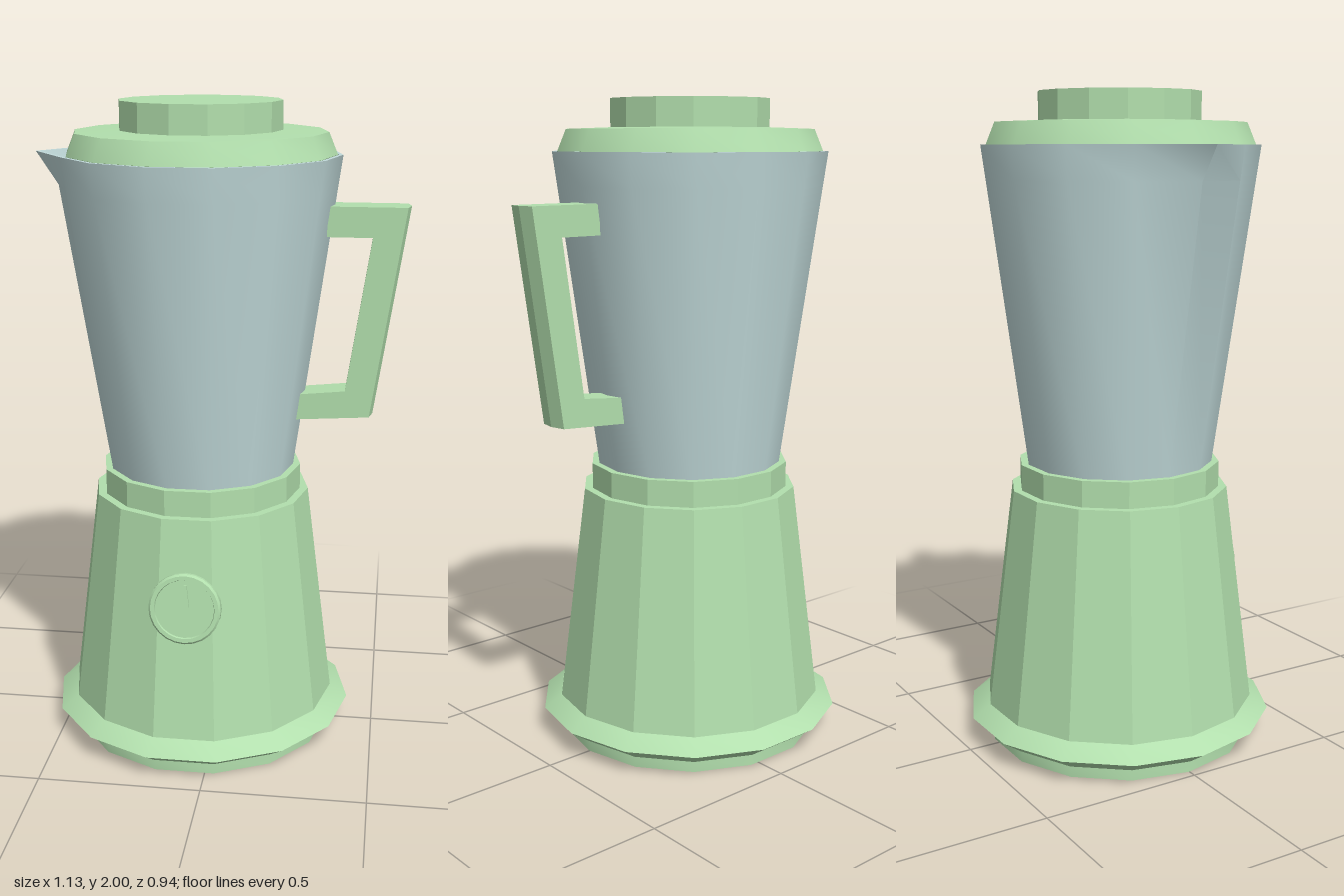
import * as THREE from 'three';
import { toCreasedNormals } from 'three/addons/utils/BufferGeometryUtils.js';

const SIDES = 14;
const AXIS_X = -0.063;

export function createModel() {
  const model = new THREE.Group();
  model.name = 'blender';

  const greenFlat = new THREE.MeshStandardMaterial({ color: 0xb2dfad, flatShading: true });
  greenFlat.name = 'pale green faceted';
  const green = new THREE.MeshStandardMaterial({ color: 0xb2dfad });
  green.name = 'pale green';
  const glass = new THREE.MeshStandardMaterial({ color: 0xc2dbdb });
  glass.name = 'pale blue grey';

  const add = (name, geometry, material, parent = model) => {
    const mesh = new THREE.Mesh(geometry, material);
    mesh.name = name;
    parent.add(mesh);
    return mesh;
  };

  // Revolved profile with a corner on the +x side
  const lathe = (points, sides = SIDES) => new THREE.LatheGeometry(
    points.map(([r, y]) => new THREE.Vector2(r, y)), sides, Math.PI / 2);
  const addTurned = (name, points, material) => {
    let geometry = lathe(points);
    if (material === green) geometry = toCreasedNormals(geometry, 0.5);
    add(name, geometry, material).position.x = AXIS_X;
  };

  // Motor base
  addTurned('foot', [[0, 0], [0.411, 0], [0.411, 0.04]], green);
  addTurned('baseRim', [[0.3, 0.035], [0.415, 0.035], [0.48, 0.08], [0.425, 0.12], [0.3, 0.12]], green);
  addTurned('motorHousing', [[0.425, 0.115], [0.338, 0.805], [0, 0.805]], greenFlat);
  addTurned('collar', [[0.3125, 0.8], [0.3125, 0.885], [0, 0.885]], greenFlat);

  // Double-walled jar, its -x corner pulled out into a pouring spout
  const jar = lathe([[0, 0.87], [0.288, 0.87], [0.409, 1.745], [0.423, 1.845],
    [0.41, 1.845], [0.396, 1.745], [0.277, 0.9], [0, 0.9]]);
  const jp = jar.attributes.position;
  for (let i = 0; i < jp.count; i++) {
    if (jp.getX(i) < -0.2 && Math.abs(jp.getZ(i)) < 0.01) {
      const y = jp.getY(i);
      const pull = y > 1.8 ? 0.08 : y > 1.7 ? 0.027 : 0;
      jp.setX(i, jp.getX(i) - pull);
    }
  }
  add('jar', toCreasedNormals(jar, 0.5), glass).position.x = AXIS_X;

  // Lid
  addTurned('lid', [[0, 1.81], [0.39, 1.81], [0.407, 1.845], [0.38, 1.91], [0.245, 1.915], [0, 1.915]], green);
  addTurned('lidKnob', [[0.245, 1.91], [0.245, 2], [0, 2]], greenFlat);

  // Handle, with a shallow ridge down the outer face
  const outline = [[0.32, 1.70], [0.555, 1.70], [0.46, 1.06], [0.235, 1.045],
    [0.24, 1.125], [0.385, 1.14], [0.455, 1.61], [0.32, 1.61]];
  const handle = new THREE.ExtrudeGeometry(
    new THREE.Shape(outline.map(([x, y]) => new THREE.Vector2(x, y))),
    { depth: 0.1, steps: 2, bevelEnabled: false });
  handle.translate(0, 0, -0.05);
  const hp = handle.attributes.position;
  for (let i = 0; i < hp.count; i++) {
    const x = hp.getX(i);
    const outer = x > 0.5 || (x > 0.458 && hp.getY(i) < 1.1);
    if (outer && Math.abs(hp.getZ(i)) < 0.01) hp.setX(i, x + 0.01);
  }
  add('handle', handle, greenFlat);

  // Dial, leaning back with the front face of the housing
  const dial = new THREE.Group();
  dial.name = 'dial';
  dial.position.set(AXIS_X, 0.535, 0.362);
  dial.rotation.x = -0.122;
  model.add(dial);
  const knob = lathe([[0, -0.012], [0.11, -0.012], [0.11, 0.012], [0.104, 0.018],
    [0.092, 0.018], [0.09, 0.012], [0, 0.012]], 24);
  knob.rotateX(Math.PI / 2);
  add('dialFace', toCreasedNormals(knob, 0.5), green, dial);
  const pointer = new THREE.ExtrudeGeometry(new THREE.Shape([
    new THREE.Vector2(-0.012, 0.008), new THREE.Vector2(0.014, 0.008),
    new THREE.Vector2(0.006, 0.075), new THREE.Vector2(-0.002, 0.075)]),
  { depth: 0.008, bevelEnabled: false });
  add('dialPointer', pointer, greenFlat, dial).position.z = 0.011;

  return model;
}
